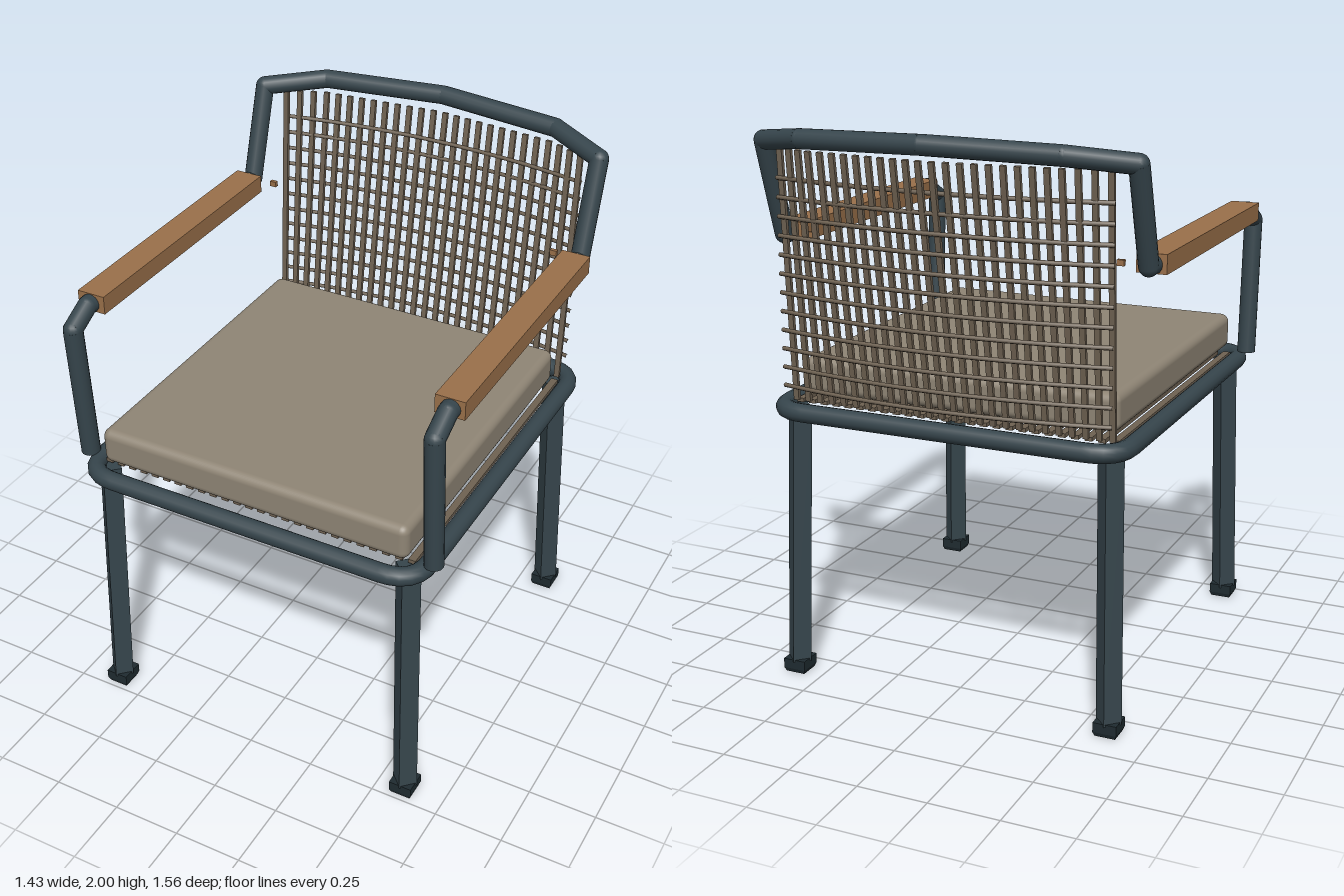
import * as THREE from 'three';
import { RoundedBoxGeometry } from 'three/addons/geometries/RoundedBoxGeometry.js';

const V = (x, y, z) => new THREE.Vector3(x, y, z);
const UP = V(0, 1, 0);

export function createModel() {
  const mat = (name, color) => new THREE.MeshStandardMaterial({ name, color });
  const metal = mat('slate metal', 0x36454c);
  const wood = mat('warm wood', 0x9a704a);
  const fabric = mat('taupe fabric', 0x8f8575);
  const cord = mat('brown cord', 0x6f6252);
  const rubber = mat('dark rubber', 0x1f2b30);

  const model = new THREE.Group();
  model.name = 'armchair';

  const add = (name, geometry, material, parent = model) => {
    const mesh = new THREE.Mesh(geometry, material);
    mesh.name = name;
    parent.add(mesh);
    return mesh;
  };
  const group = (name) => {
    const g = new THREE.Group();
    g.name = name;
    model.add(g);
    return g;
  };
  // Stand a y-aligned geometry between two points
  const span = (mesh, a, b) => {
    mesh.position.copy(a).lerp(b, 0.5);
    mesh.quaternion.setFromUnitVectors(UP, b.clone().sub(a).normalize());
    return mesh;
  };

  // Seat ring: rounded rectangle of round tube
  const X = 0.638, ZF = 0.744, ZB = -0.647, R = 0.12, Y = 1.0;
  const corners = [[X, ZF, 0, 1], [X, ZB, 1, 0], [-X, ZB, 0, -1], [-X, ZF, -1, 0]];
  const ringPath = new THREE.CurvePath();
  const ends = corners.map(([x, z], i) => {
    const c = V(x, Y, z);
    const toward = (j) => {
      const o = corners[(j + 4) % 4];
      return c.clone().add(V(o[0], Y, o[1]).sub(c).setLength(R));
    };
    return { c, a: toward(i - 1), b: toward(i + 1) };
  });
  ends.forEach((e, i) => {
    ringPath.add(new THREE.QuadraticBezierCurve3(e.a, e.c, e.b));
    ringPath.add(new THREE.LineCurve3(e.b, ends[(i + 1) % 4].a));
  });
  add('seatRing', new THREE.TubeGeometry(ringPath, 160, 0.033, 14, true), metal);

  // Arm posts and back rail: one bent pipe, mirrored about the middle
  const pipe = group('armAndBackFrame');
  const half = [
    V(0.668, 1.03, 0.66), V(0.668, 1.54, 0.688), V(0.668, 1.587, 0.6),
    V(0.668, 1.587, -0.485), V(0.668, 1.925, -0.592), V(0.46, 1.953, -0.7),
  ];
  const path = [...half, V(0, 1.965, -0.745),
    ...half.slice().reverse().map((p) => V(-p.x, p.y, p.z))];
  const r = 0.034;
  path.forEach((p, i) => {
    if (i === path.length - 1) return;
    const q = path[i + 1];
    span(add('frameTube', new THREE.CylinderGeometry(r, r, p.distanceTo(q), 16), metal, pipe), p, q);
    if (i > 0) add('frameBend', new THREE.SphereGeometry(r, 16, 10), metal, pipe).position.copy(p);
  });

  for (const s of [1, -1]) {
    const side = s > 0 ? 'left' : 'right';
    // Legs: square bars turned cornerwise, splayed a little, on rubber feet
    for (const [end, zTop, zFoot] of [['Front', 0.668, 0.692], ['Back', -0.563, -0.598]]) {
      const top = V(s * 0.582, 1.0, zTop), foot = V(s * 0.602, 0.04, zFoot);
      const leg = new THREE.BoxGeometry(0.066, top.distanceTo(foot), 0.066).rotateY(Math.PI / 4);
      span(add(side + end + 'Leg', leg, metal), foot, top);
      const cap = new THREE.CylinderGeometry(0.06, 0.06, 0.035, 4).rotateY(Math.PI / 4).toNonIndexed();
      const tip = new THREE.CylinderGeometry(0.06, 0.052, 0.015, 4).rotateY(Math.PI / 4).toNonIndexed();
      cap.computeVertexNormals();
      tip.computeVertexNormals();
      add(side + end + 'Foot', cap, rubber).position.set(foot.x, 0.0325, zFoot);
      add(side + end + 'FootTip', tip, rubber).position.set(foot.x, 0.0075, zFoot);
    }
    // Wooden armrest and small peg
    add(side + 'Armrest', new THREE.BoxGeometry(0.104, 0.066, 1.03), wood)
      .position.set(s * 0.665, 1.59, 0.065);
    add(side + 'Peg', new THREE.BoxGeometry(0.025, 0.02, 0.015), wood)
      .position.set(s * 0.572, 1.59, -0.476);
  }

  // Cushion
  add('cushion', new RoundedBoxGeometry(1.176, 0.132, 1.223, 4, 0.03), fabric)
    .position.set(0, 1.098, 0.0885);

  // Woven seat straps and upright back cords
  const seat = group('seatStraps');
  const back = group('backWeave');
  const railZ = (x) => {
    const a = Math.abs(x);
    return a < 0.46 ? -0.72 + 0.045 * a / 0.46 : -0.675 + 0.06 * (a - 0.46) / 0.14;
  };
  const count = 26;
  for (let i = 0; i < count; i++) {
    const x = -0.59 + (1.18 * i) / (count - 1);
    add('seatStrap', new THREE.BoxGeometry(0.026, 0.014, 1.21), cord, seat)
      .position.set(x, 1.012, 0.057);
    const a = V(x, 1.02, -0.568), b = V(x, 1.91, railZ(x));
    span(add('uprightCord', new THREE.BoxGeometry(0.02, a.distanceTo(b), 0.014), cord, back), a, b);
  }

  // Cross cords, bowed backwards
  const bow = new THREE.QuadraticBezierCurve3(V(-0.605, 0, -0.62), V(0, 0, -0.755), V(0.605, 0, -0.62));
  const crossGeo = new THREE.TubeGeometry(bow, 20, 0.008, 6);
  for (let i = 0; i < 12; i++) {
    add('crossCord', crossGeo, cord, back).position.y = 1.085 + 0.0655 * i;
  }
  return model;
}
